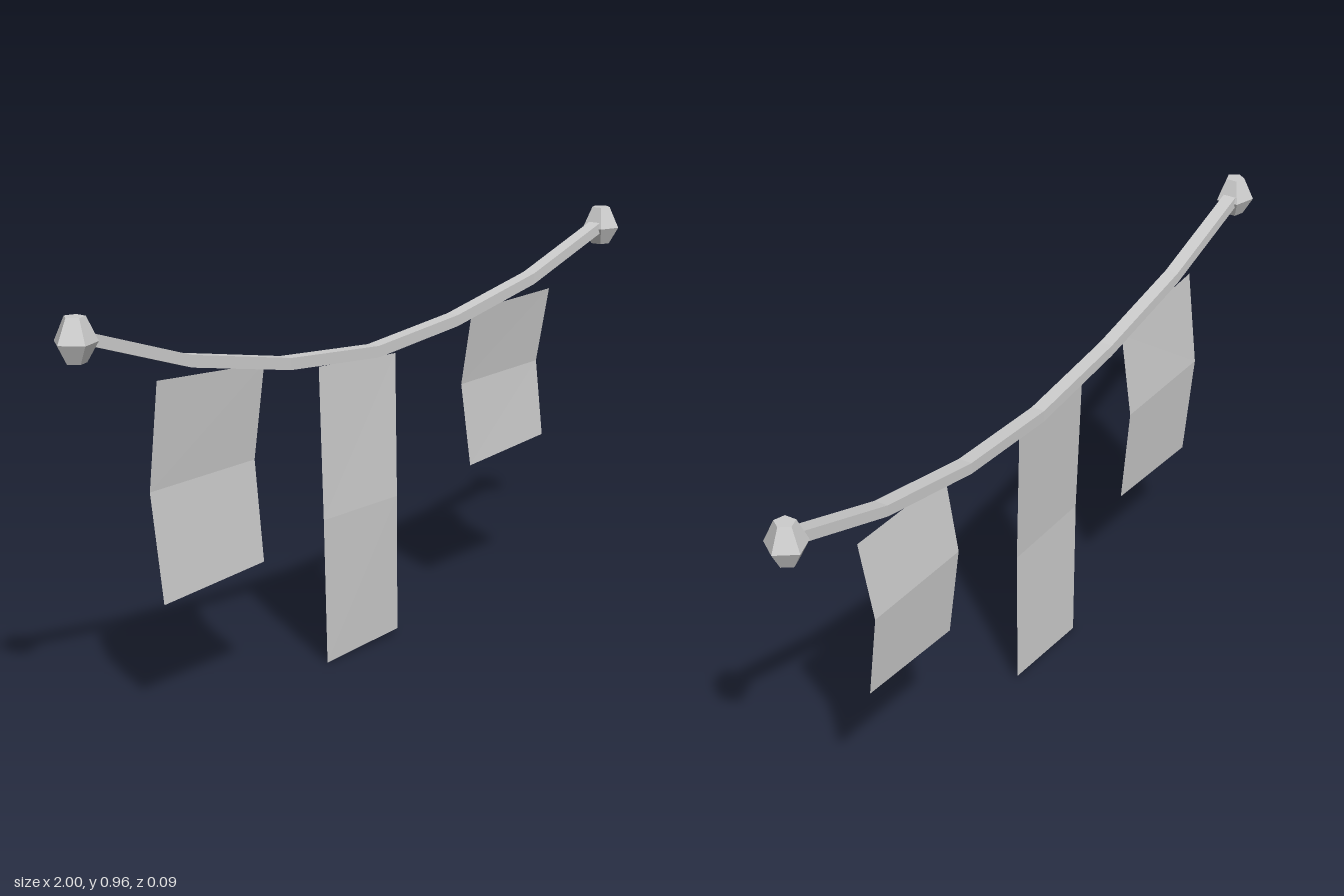
import * as THREE from 'three';

const grey = new THREE.MeshStandardMaterial({ color: 0xcccccc, flatShading: true, side: THREE.DoubleSide });
grey.name = 'plain grey';

function part(name, geometry) {
  const mesh = new THREE.Mesh(geometry, grey);
  mesh.name = name;
  return mesh;
}

// Sagging rope: a long bar in six segments, each section shifted to its place
function rope() {
  const heights = [0.918, 0.815, 0.755, 0.73, 0.755, 0.815, 0.918];
  const depths = [-0.004, 0.002, 0.006, 0.003, -0.003, 0, 0.004];
  const half = 0.945;
  const geometry = new THREE.BoxGeometry(2 * half, 0.028, 0.034, 6, 1, 1);
  const p = geometry.attributes.position;
  for (let i = 0; i < p.count; i++) {
    const k = Math.round((p.getX(i) / half + 1) * 3);
    p.setY(i, p.getY(i) + heights[k]);
    p.setZ(i, p.getZ(i) + depths[k]);
  }
  geometry.computeVertexNormals();
  return part('rope', geometry);
}

// Five-sided knob with a point facing outward
function knob(name, side) {
  const profile = [[0, 0.864], [0.024, 0.864], [0.049, 0.907], [0.024, 0.961], [0, 0.961]]
    .map(([r, y]) => new THREE.Vector2(r, y));
  const mesh = part(name, new THREE.LatheGeometry(profile, 5, side * Math.PI / 2));
  mesh.position.x = side * 0.951;
  return mesh;
}

// Cloth strip: rows from top to bottom, each [left x, left y, right x, right y, z]
function cloth(name, rows) {
  const geometry = new THREE.PlaneGeometry(1, 1, 1, 2);
  const p = geometry.attributes.position;
  rows.forEach(([x0, y0, x1, y1, z], r) => {
    p.setXYZ(2 * r, x0, y0, z);
    p.setXYZ(2 * r + 1, x1, y1, z);
  });
  geometry.computeVertexNormals();
  return part(name, geometry);
}

export function createModel() {
  const group = new THREE.Group();
  group.name = 'hanging cloth line';
  group.add(
    rope(),
    knob('leftKnob', 1),
    knob('rightKnob', -1),
    cloth('rightCloth', [
      [-0.72, 0.785, -0.38, 0.765, 0],
      [-0.725, 0.535, -0.39, 0.54, -0.024],
      [-0.705, 0.277, -0.38, 0.298, -0.008],
    ]),
    cloth('middleCloth', [
      [-0.195, 0.725, 0.085, 0.71, 0.001],
      [-0.2, 0.36, 0.072, 0.36, 0.018],
      [-0.18, 0, 0.085, 0.016, 0.01],
    ]),
    cloth('leftCloth', [
      [0.39, 0.767, 0.72, 0.775, 0],
      [0.385, 0.575, 0.707, 0.582, -0.028],
      [0.405, 0.362, 0.717, 0.383, -0.012],
    ]),
  );
  return group;
}
